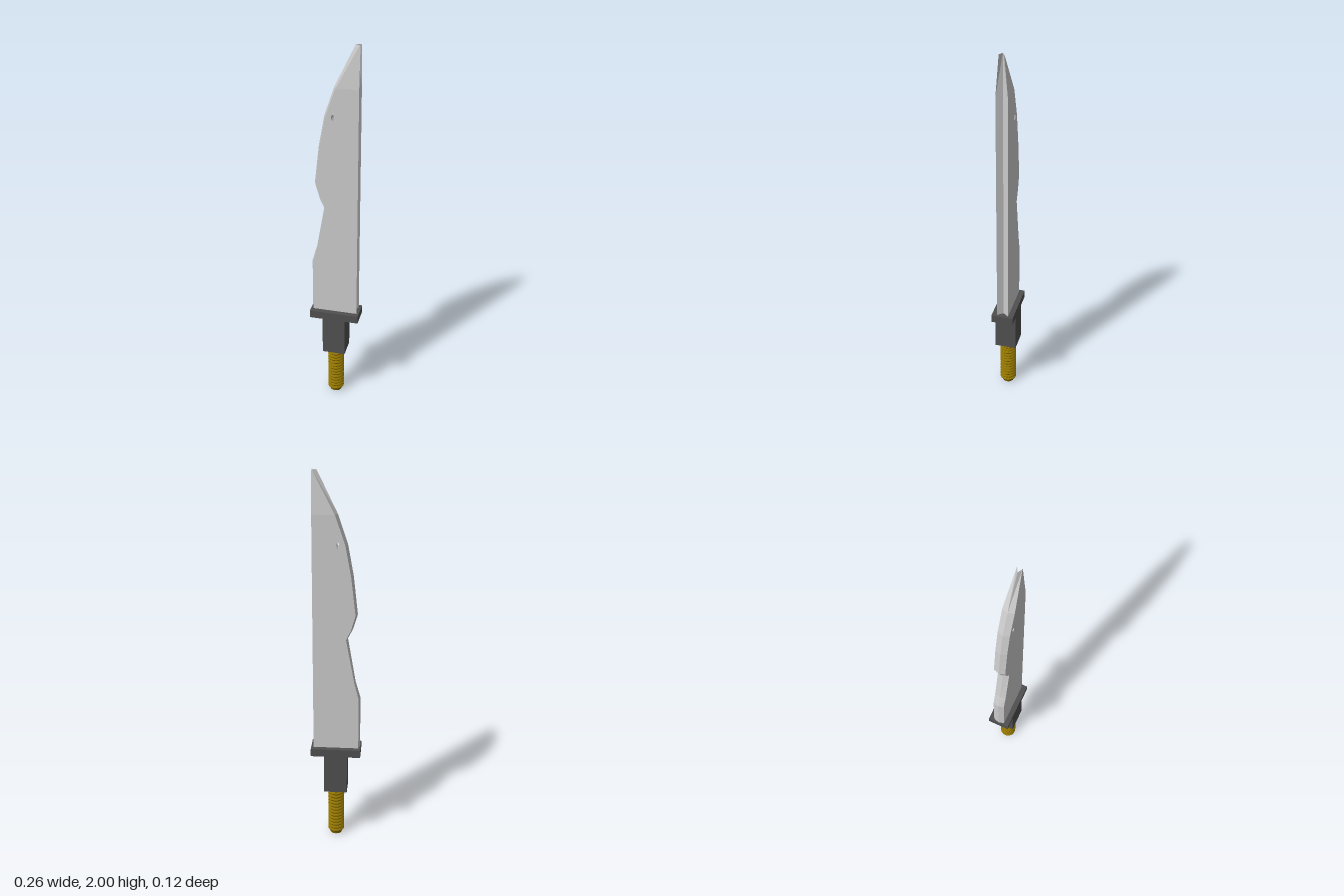
import * as THREE from 'three';

const steel = new THREE.MeshStandardMaterial({ color: 0xcccccc, flatShading: true });
const dark = new THREE.MeshStandardMaterial({ color: 0x505050, flatShading: true });
const brass = new THREE.MeshStandardMaterial({ color: 0x8f7200, flatShading: true });

const HALF = 0.03;      // half thickness of the blade
const SPINE = 0.118;    // x of the back of the blade
const GROOVE = 0.095;   // x of the bottom of the groove in the back
const TIP_HALF = 0.013; // half thickness at the tip

// rows of the cutting side: height, x of the central ridge, x of the flat face's border
const ROWS = [
  [0.53, -0.127, -0.119], [0.82, -0.127, -0.119], [0.91, -0.101, -0.096],
  [1.15, -0.060, -0.052], [1.20, -0.085, -0.076], [1.28, -0.109, -0.099],
  [1.48, -0.087, -0.076], [1.64, -0.058, -0.047], [1.79, -0.008, 0.004],
  [2.0, 0.093, 0.114],
];

function createBlade() {
  const pos = [];
  const tri = (a, b, c) => pos.push(...a, ...b, ...c);

  // adds a quad and its mirror image on the other side of z = 0
  const mirror = (p) => [p[0], p[1], -p[2]];
  const pair = (a, b, c, d) => {
    tri(a, b, c); tri(a, c, d);
    const [e, f, g, h] = [a, b, c, d].map(mirror);
    tri(e, g, f); tri(e, h, g);
  };
  const last = ROWS.length - 1;
  const half = (i) => (i === last ? TIP_HALF : HALF);

  for (let i = 0; i < last; i++) {
    const [y0, r0, f0] = ROWS[i], [y1, r1, f1] = ROWS[i + 1];
    const z0 = half(i), z1 = half(i + 1);
    // bevel to the ridge, and the groove along the back
    pair([r0, y0, 0], [f0, y0, z0], [f1, y1, z1], [r1, y1, 0]);
    pair([SPINE, y0, z0], [GROOVE, y0, 0], [GROOVE, y1, 0], [SPINE, y1, z1]);
    // tapering face of the tip
    if (i === last - 1) pair([f0, y0, z0], [SPINE, y0, z0], [SPINE, y1, z1], [f1, y1, z1]);
  }
  // end caps
  const [yt, rt, ft] = ROWS[last], [yb, rb, fb] = ROWS[0];
  pair([rt, yt, 0], [ft, yt, TIP_HALF], [SPINE, yt, TIP_HALF], [GROOVE, yt, 0]);
  pair([GROOVE, yb, 0], [SPINE, yb, HALF], [fb, yb, HALF], [rb, yb, 0]);

  // flat faces with a small eyelet
  const outline = ROWS.slice(0, last).map(([y, , f]) => new THREE.Vector2(f, y)).reverse();
  outline.push(new THREE.Vector2(SPINE, 0.53), new THREE.Vector2(SPINE, ROWS[last - 1][0]));
  const eyelet = [];
  for (let i = 0; i < 6; i++) {
    const a = -i * Math.PI / 3 + Math.PI / 2;
    eyelet.push(new THREE.Vector2(-0.01 + 0.008 * Math.cos(a), 1.64 + 0.017 * Math.sin(a)));
  }
  const shape = new THREE.Shape(outline);
  shape.holes.push(new THREE.Path(eyelet));
  const face = new THREE.ShapeGeometry(shape).toNonIndexed().attributes.position;
  for (let i = 0; i < face.count; i += 3) {
    const [a, b, c] = [0, 1, 2].map((k) => [face.getX(i + k), face.getY(i + k), HALF]);
    tri(a, b, c);
    tri(mirror(a), mirror(c), mirror(b));
  }
  // eyelet wall
  eyelet.forEach((p, i) => {
    const q = eyelet[(i + 1) % eyelet.length];
    pair([p.x, p.y, HALF], [p.x, p.y, 0], [q.x, q.y, 0], [q.x, q.y, HALF]);
  });

  const geo = new THREE.BufferGeometry();
  geo.setAttribute('position', new THREE.Float32BufferAttribute(pos, 3));
  geo.computeVertexNormals();
  const mat = steel.clone();
  mat.side = THREE.DoubleSide;
  return new THREE.Mesh(geo, mat);
}

// threaded rod with a chamfered lower end
function createRod() {
  const turns = 14, y0 = 0.015, y1 = 0.285, pitch = (y1 - y0) / turns;
  const profile = [new THREE.Vector2(0, 0), new THREE.Vector2(0.031, 0)];
  for (let i = 0; i < turns; i++) {
    const y = y0 + i * pitch;
    profile.push(new THREE.Vector2(0.037, y));
    profile.push(new THREE.Vector2(0.044, y + pitch * 0.4));
    profile.push(new THREE.Vector2(0.044, y + pitch * 0.6));
  }
  profile.push(new THREE.Vector2(0.037, y1), new THREE.Vector2(0, y1));
  return new THREE.Mesh(new THREE.LatheGeometry(profile, 20), brass);
}

function box(w, h, d, y) {
  const mesh = new THREE.Mesh(new THREE.BoxGeometry(w, h, d), dark);
  mesh.position.y = y;
  return mesh;
}

export function createModel() {
  const model = new THREE.Group();
  const add = (name, mesh) => { mesh.name = name; model.add(mesh); };
  add('blade', createBlade());
  add('guard', box(0.262, 0.042, 0.116, 0.515));
  add('handle', box(0.122, 0.216, 0.114, 0.388));
  add('threadedRod', createRod());
  return model;
}
